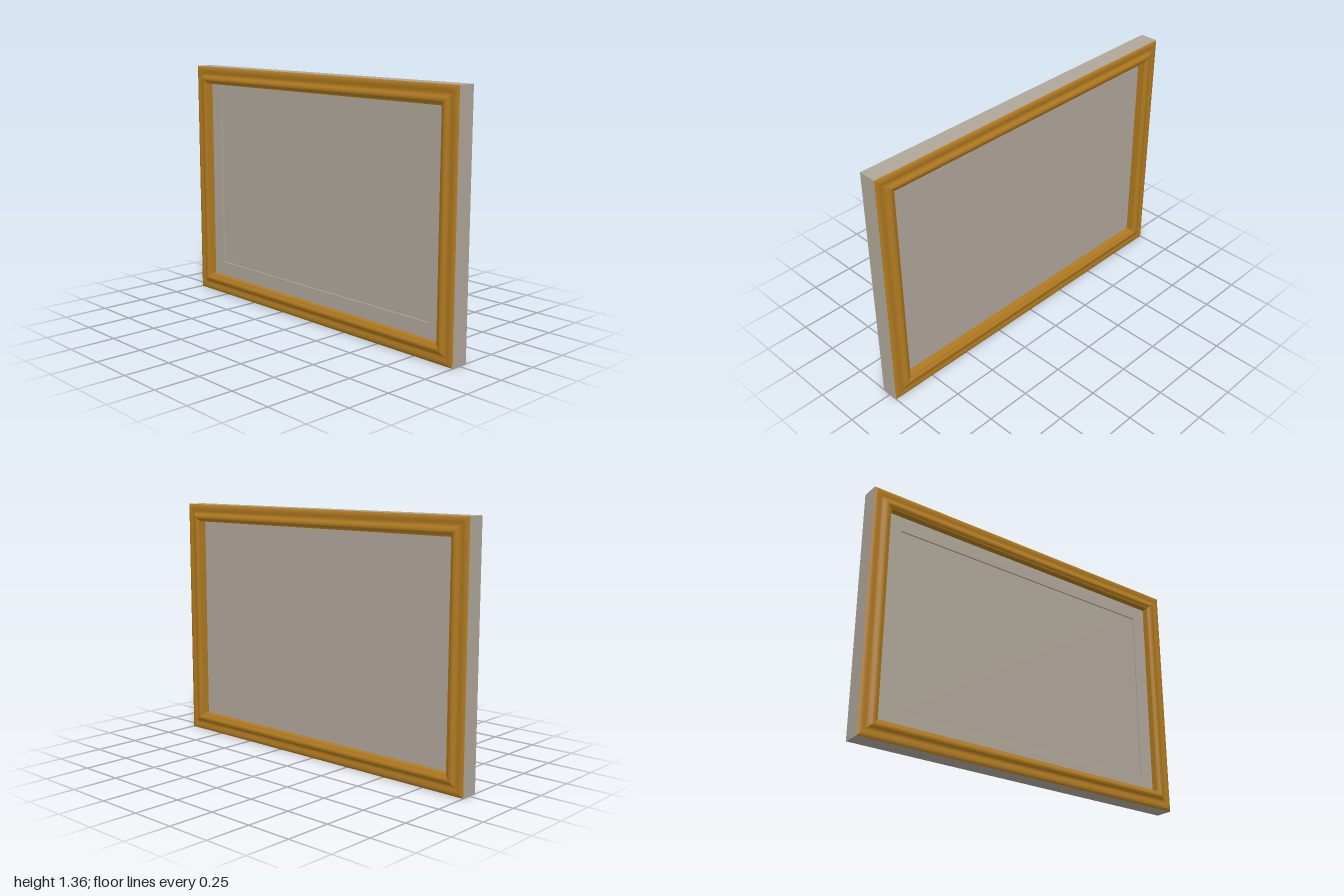
import * as THREE from 'three';

const W = 1, H = 0.68; // half width and half height of the frame

// One mitred side: sweeps a profile of [inset, z] points between two corners
function sideStrip(profile, k) {
  const corners = [[-1, -1], [1, -1], [1, 1], [-1, 1]];
  const pos = [], index = [];
  for (const [d, z] of profile) {
    for (const [sx, sy] of [corners[k], corners[(k + 1) % 4]]) {
      pos.push(sx * (W - d), sy * (H - d), z);
    }
  }
  for (let j = 0; j < profile.length - 1; j++) {
    const a = j * 2;
    index.push(a, a + 1, a + 3, a, a + 3, a + 2);
  }
  const g = new THREE.BufferGeometry();
  g.setAttribute('position', new THREE.Float32BufferAttribute(pos, 3));
  g.setIndex(index);
  g.computeVertexNormals();
  return g;
}

// Four mitred sides forming a rectangular ring
function ring(name, profile, material) {
  const group = new THREE.Group();
  group.name = name;
  ['Bottom', 'Right', 'Top', 'Left'].forEach((side, k) => {
    const mesh = new THREE.Mesh(sideStrip(profile, k), material);
    mesh.name = name + side;
    group.add(mesh);
  });
  return group;
}

export function createModel() {
  const gold = new THREE.MeshStandardMaterial({ color: 0xb07a20 });
  gold.name = 'gold';
  const stone = new THREE.MeshStandardMaterial({ color: 0xb0a79a });
  stone.name = 'warmGrey';

  const model = new THREE.Group();
  model.name = 'pictureFrame';
  const body = new THREE.Group();
  body.name = 'frameBody';
  body.position.y = H;
  model.add(body);

  // Plain outer edge
  body.add(ring('outerEdge', [[0, -0.05], [0, 0.05]], stone));

  // Gilded moulding: rounded outer lip, shallow cove, raised inner bead
  const moulding = [
    [0, 0.05], [0.006, 0.055], [0.015, 0.058], [0.028, 0.058], [0.04, 0.055],
    [0.05, 0.056], [0.058, 0.061], [0.066, 0.067], [0.076, 0.068],
    [0.084, 0.066], [0.09, 0.06], [0.1, 0.057],
  ];
  for (const [name, turn] of [['front', 0], ['back', Math.PI]]) {
    const face = new THREE.Group();
    face.name = name + 'Face';
    face.rotation.y = turn;
    face.add(ring(name + 'Moulding', moulding, gold));
    face.add(ring(name + 'Rebate', [[0.1, 0.057], [0.1, 0.01]], gold));
    body.add(face);
  }

  // Backing panel
  const panel = new THREE.Mesh(new THREE.BoxGeometry(1.8, 1.16, 0.027), stone);
  panel.name = 'panel';
  panel.position.z = -0.0015;
  body.add(panel);

  // Mat border with a small step down to the panel
  body.add(ring('matBorder', [[0.1, 0.021], [0.182, 0.021]], stone));
  body.add(ring('matStep', [[0.182, 0.021], [0.182, 0.012]], stone));

  return model;
}
